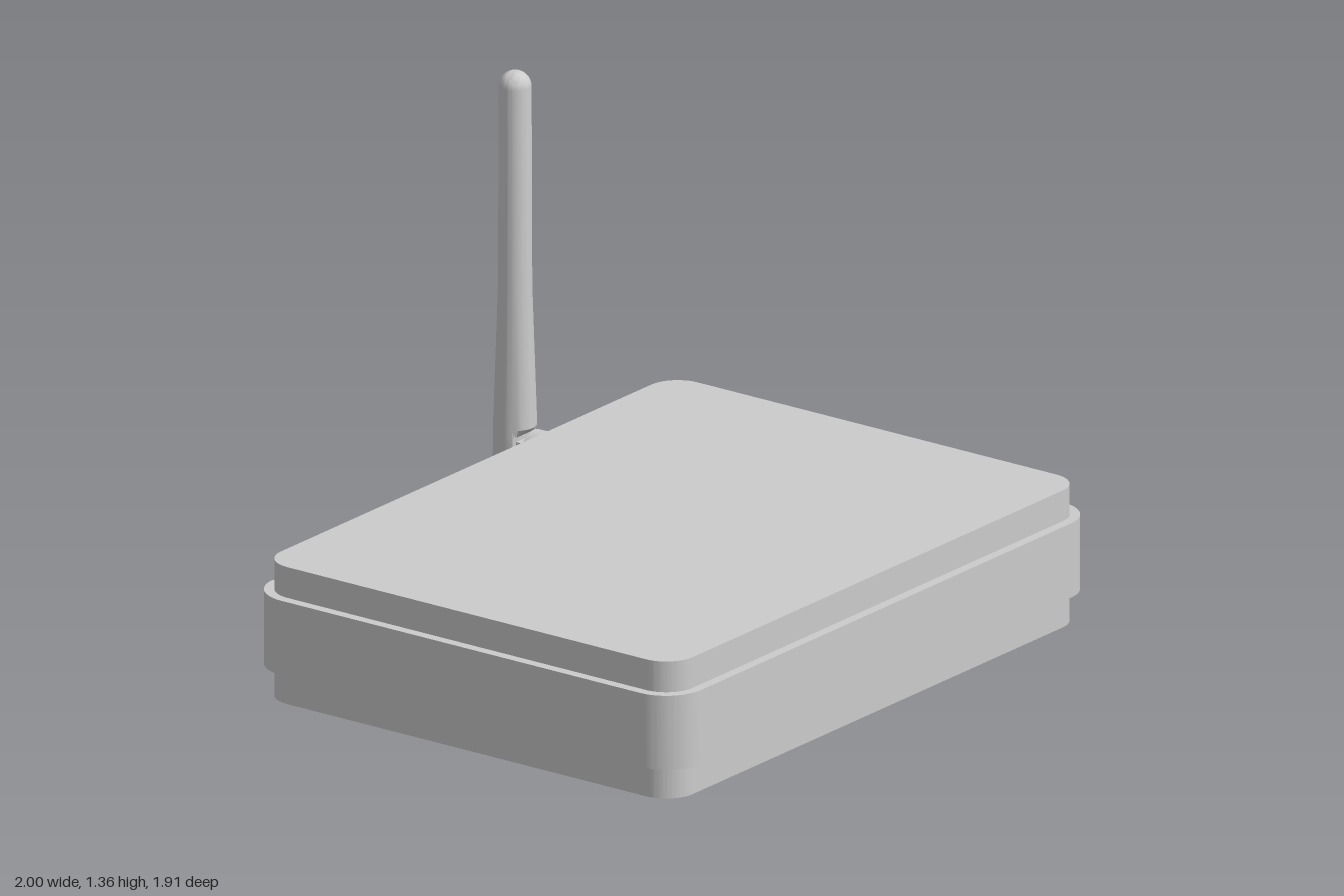
import * as THREE from 'three';
import { toCreasedNormals } from 'three/addons/utils/BufferGeometryUtils.js';

const grey = new THREE.MeshStandardMaterial({ color: 0xcccccc });

function add(group, name, geometry, x = 0, y = 0, z = 0) {
  const mesh = new THREE.Mesh(geometry, grey);
  mesh.name = name;
  mesh.position.set(x, y, z);
  group.add(mesh);
  return mesh;
}

// Extrudes a plan outline (shape y = -z) upwards with crisp edges
function extrudeUp(shape, height) {
  const g = new THREE.ExtrudeGeometry(shape, { depth: height, bevelEnabled: false, curveSegments: 12 });
  return toCreasedNormals(g.rotateX(-Math.PI / 2), 0.6);
}

// Rounded rectangle from x = -w..w and plan y = y0..y1
function roundedRect(w, y0, y1, r) {
  const s = new THREE.Shape();
  s.absarc(w - r, y0 + r, r, -Math.PI / 2, 0);
  s.absarc(w - r, y1 - r, r, 0, Math.PI / 2);
  s.absarc(-w + r, y1 - r, r, Math.PI / 2, Math.PI);
  s.absarc(-w + r, y0 + r, r, Math.PI, Math.PI * 1.5);
  s.closePath();
  return s;
}

// Wrap-around band, open along the back
function bandShape() {
  const cx = 0.875, front = -0.83, back = 0.45, R = 0.125, r = 0.09, H = Math.PI / 2;
  const s = new THREE.Shape();
  s.absarc(-cx, back, R, H, 2 * H);
  s.absarc(-cx, front, R, 2 * H, 3 * H);
  s.absarc(cx, front, R, 3 * H, 4 * H);
  s.absarc(cx, back, R, 0, H);
  s.absarc(cx, back, r, H, 0, true);
  s.absarc(cx, front, r, 0, -H, true);
  s.absarc(-cx, front, r, 3 * H, 2 * H, true);
  s.absarc(-cx, back, r, 2 * H, H, true);
  s.closePath();
  return s;
}

// Tapered rod with domed tip; its foot is cut flat where it meets the hinge
function antennaGeometry() {
  const pts = [[0, 0.16], [0.064, 0.16], [0.064, 0.19], [0.063, 0.265], [0.063, 0.29], [0.049, 0.71], [0.047, 1.313]]
    .map(([x, y]) => new THREE.Vector2(x, y));
  for (let i = 1; i <= 8; i++) {
    const a = (i / 8) * Math.PI / 2;
    pts.push(new THREE.Vector2(Math.max(0, 0.047 * Math.cos(a)), 1.313 + 0.047 * Math.sin(a)));
  }
  const g = new THREE.LatheGeometry(pts, 48);
  const p = g.attributes.position;
  for (let i = 0; i < p.count; i++) {
    const y = p.getY(i);
    let limit = 1;
    if (y < 0.17) limit = 0.003;
    else if (y < 0.28) limit = 0.033;
    p.setZ(i, Math.min(p.getZ(i), limit));
  }
  return toCreasedNormals(g, 0.5);
}

export function createModel() {
  const model = new THREE.Group();
  model.name = 'router';

  // Case and surrounding band
  add(model, 'case', extrudeUp(roundedRect(0.97, -0.925, 0.545, 0.095), 0.415), 0, 0.015, 0);
  add(model, 'band', extrudeUp(bandShape(), 0.225), 0, 0.112, 0);

  // Shallow domed feet
  const footProfile = [[0, 0], [0.025, 0.002], [0.04, 0.007], [0.053, 0.018]].map(([x, y]) => new THREE.Vector2(x, y));
  const foot = new THREE.LatheGeometry(footProfile, 24);
  for (const x of [-0.795, 0.795]) for (const z of [0.805, -0.42]) add(model, 'foot', foot, x, 0, z);

  // Antenna with its socket and hinge
  const antenna = new THREE.Group();
  antenna.name = 'antenna';
  antenna.position.x = 0.69;
  model.add(antenna);
  const socket = new THREE.CylinderGeometry(0.061, 0.061, 0.295, 40).rotateX(Math.PI / 2);
  add(antenna, 'antennaSocket', socket, 0, 0.225, -0.6775);
  add(antenna, 'antennaHinge', new THREE.BoxGeometry(0.08, 0.055, 0.06), 0, 0.225, -0.845);
  add(antenna, 'antennaRod', antennaGeometry(), 0, 0, -0.891);

  return model;
}
